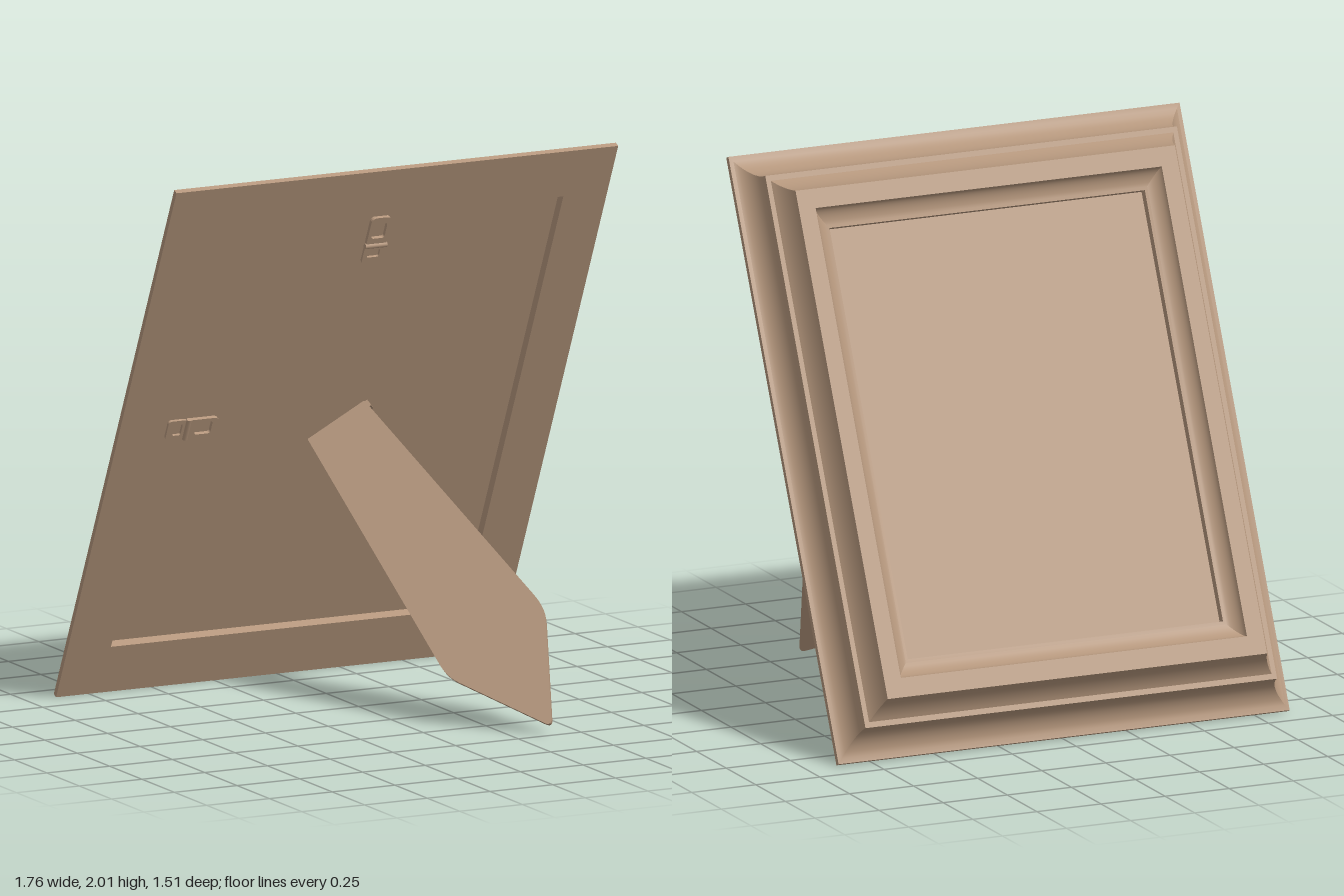
import * as THREE from 'three';
import { toCreasedNormals } from 'three/addons/utils/BufferGeometryUtils.js';

const WIDTH = 1.76, LENGTH = 2.206, TILT = 0.4353;

function mesh(name, geometry, material, x = 0, y = 0, z = 0) {
  const m = new THREE.Mesh(geometry, material);
  m.name = name;
  m.position.set(x, y, z);
  return m;
}

// Curve between two profile points [insetX, insetY, depth]; bend 0 is straight, 1 a quarter round
function cove(a, b, bend, dropFirst) {
  const out = [];
  for (let i = 0; i <= 8; i++) {
    const t = i / 8, s = Math.sin(t * Math.PI / 2), c = 1 - Math.cos(t * Math.PI / 2);
    const u = THREE.MathUtils.lerp(t, dropFirst ? c : s, bend);
    const w = THREE.MathUtils.lerp(t, dropFirst ? s : c, bend);
    out.push([a[0] + (b[0] - a[0]) * u, a[1] + (b[1] - a[1]) * u, a[2] + (b[2] - a[2]) * w]);
  }
  return out;
}

// Sweep a moulding profile around the rectangle with mitred corners
function mouldingGeometry(profile) {
  const rings = profile.map(([ix, iy, w]) => {
    const x = WIDTH / 2 - ix, y0 = iy, y1 = LENGTH - iy;
    return [[-x, y0, -w], [x, y0, -w], [x, y1, -w], [-x, y1, -w]];
  });
  const pos = [];
  for (let k = 0; k < rings.length - 1; k++) {
    for (let s = 0; s < 4; s++) {
      const n = (s + 1) % 4;
      const a = rings[k][s], b = rings[k][n], d = rings[k + 1][s], e = rings[k + 1][n];
      pos.push(...a, ...d, ...e, ...a, ...e, ...b);
    }
  }
  const g = new THREE.BufferGeometry();
  g.setAttribute('position', new THREE.Float32BufferAttribute(pos, 3));
  return toCreasedNormals(g, 0.4);
}

// Trace a polygon whose corners are rounded by radius r
function roundedOutline(path, pts, r) {
  pts.forEach((p, i) => {
    const prev = pts[(i + pts.length - 1) % pts.length], next = pts[(i + 1) % pts.length];
    const a = p.clone().add(prev.clone().sub(p).setLength(r));
    const b = p.clone().add(next.clone().sub(p).setLength(r));
    if (i === 0) path.moveTo(a.x, a.y); else path.lineTo(a.x, a.y);
    path.quadraticCurveTo(p.x, p.y, b.x, b.y);
  });
  path.closePath();
  return path;
}

function rect(x0, y0, x1, y1) {
  return [[x0, y0], [x1, y0], [x1, y1], [x0, y1]].map(p => new THREE.Vector2(...p));
}

function ringPlate(outer, inner, r, depth) {
  const shape = roundedOutline(new THREE.Shape(), outer, r);
  shape.holes.push(roundedOutline(new THREE.Path(), inner, r * 0.5));
  return new THREE.ExtrudeGeometry(shape, { depth, bevelEnabled: false, curveSegments: 5 });
}

// Hanging loop: screw plate, hinge bar and ring, pointing along +y
function makeHanger(material) {
  const g = new THREE.Group();
  g.name = 'hanger';
  g.add(mesh('hangerPlate', ringPlate(rect(-0.04, -0.1, 0.04, -0.025), rect(-0.024, -0.075, 0.024, -0.042), 0.014, 0.01), material));
  g.add(mesh('hangerRing', ringPlate(rect(-0.04, -0.03, 0.04, 0.1), rect(-0.026, 0.01, 0.026, 0.075), 0.022, 0.014), material));
  const bar = mesh('hangerBar', new THREE.CylinderGeometry(0.01, 0.01, 0.086, 10), material, 0, -0.022, 0.012);
  bar.rotation.z = Math.PI / 2;
  g.add(bar);
  return g;
}

// Easel leg: a thin plate laid in the plane of its five corners
function makeLeg(material) {
  const corners = [[-0.1, 0.94, -0.2], [0.12, 0.18, 0.45], [0.372, 0.04, 0.765], [0.44, 0.43, 0.58], [0.09, 1.075, -0.13]]
    .map(p => new THREE.Vector3(...p));
  const origin = corners[0];
  const X = corners[4].clone().sub(origin).normalize();
  const Z = X.clone().cross(corners[1].clone().sub(origin)).normalize().negate();
  const Y = Z.clone().cross(X);
  const flat = corners.map(c => {
    const d = c.clone().sub(origin);
    return new THREE.Vector2(d.dot(X), d.dot(Y));
  });
  const shape = new THREE.Shape();
  const radii = [0.005, 0.05, 0.03, 0.06, 0.005];
  flat.forEach((p, i) => {
    const a = p.clone().add(flat[(i + 4) % 5].clone().sub(p).setLength(radii[i]));
    const b = p.clone().add(flat[(i + 1) % 5].clone().sub(p).setLength(radii[i]));
    if (i === 0) shape.moveTo(a.x, a.y); else shape.lineTo(a.x, a.y);
    shape.quadraticCurveTo(p.x, p.y, b.x, b.y);
  });
  shape.closePath();
  const thickness = 0.02;
  const geo = new THREE.ExtrudeGeometry(shape, { depth: thickness, bevelEnabled: false, curveSegments: 6 });
  geo.translate(0, 0, -thickness);
  const g = new THREE.Group();
  g.name = 'easelLeg';
  g.add(mesh('legPlate', toCreasedNormals(geo, 0.5), material));
  // Hinge strip between the leg and the backing board
  const len = flat[4].x;
  g.add(mesh('legHinge', new THREE.BoxGeometry(len, 0.025, 0.045), material, len / 2 + 0.01, -0.014, -0.03));
  g.applyMatrix4(new THREE.Matrix4().makeBasis(X, Y, Z).setPosition(origin));
  return g;
}

export function createModel() {
  const model = new THREE.Group();
  model.name = 'pictureFrame';
  const wood = new THREE.MeshStandardMaterial({ color: 0xb4967c });
  wood.name = 'tan';

  // Tilted frame: local +z is the backing side, local -z the picture side
  const frame = new THREE.Group();
  frame.name = 'frame';
  frame.position.z = -0.63;
  frame.rotation.x = TILT;
  model.add(frame);

  const profile = [
    [0.175, 0.2, 0.035], [0.175, 0.2, 0], [0, 0, 0],
    ...cove([0, 0, 0.02], [0.077, 0.1, 0.133], 1, false),
    ...cove([0.095, 0.12, 0.133], [0.14, 0.18, 0.227], 0.4, false),
    ...cove([0.205, 0.25, 0.227], [0.265, 0.32, 0.18], 0.8, true),
    [0.265, 0.32, 0.15],
  ];
  frame.add(mesh('moulding', mouldingGeometry(profile), wood));

  // Backing board and picture panel
  const board = new THREE.PlaneGeometry(WIDTH - 0.35, LENGTH - 0.4);
  frame.add(mesh('backingBoard', board, wood, 0, LENGTH / 2, -0.035));
  const picture = mesh('picturePanel', new THREE.PlaneGeometry(WIDTH - 0.53, LENGTH - 0.64), wood, 0, LENGTH / 2, -0.15);
  picture.rotation.y = Math.PI;
  frame.add(picture);

  // Hanging loops for upright and sideways use
  const topHanger = makeHanger(wood);
  topHanger.position.set(0, 1.88, -0.035);
  const sideHanger = makeHanger(wood);
  sideHanger.position.set(-0.57, 1.122, -0.035);
  sideHanger.rotation.z = -Math.PI / 2;
  frame.add(topHanger, sideHanger);

  model.add(makeLeg(wood));
  return model;
}
